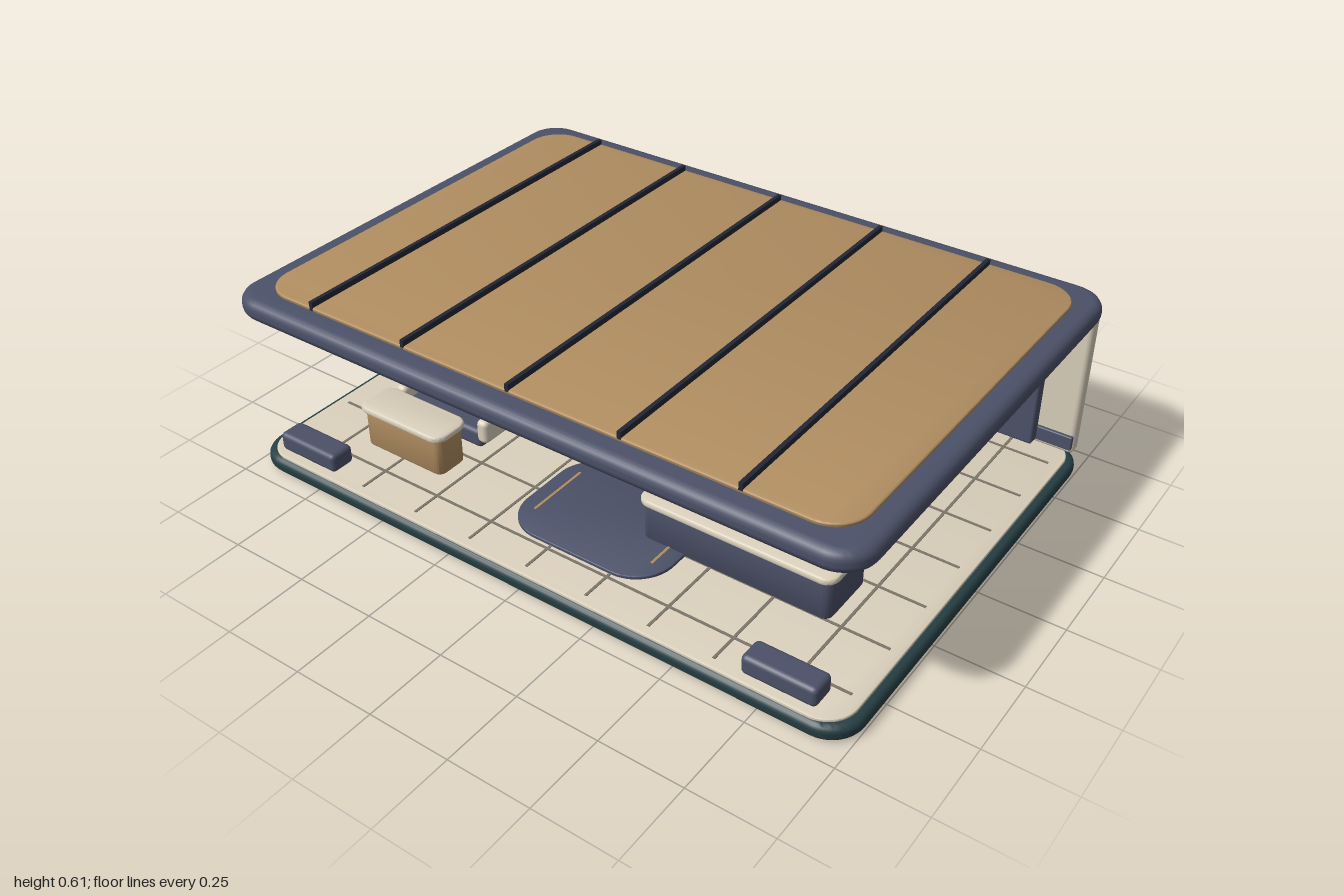
import * as THREE from 'three';
import { toCreasedNormals } from 'three/addons/utils/BufferGeometryUtils.js';
import { RoundedBoxGeometry } from 'three/addons/geometries/RoundedBoxGeometry.js';

const mat = (name, color) => Object.assign(new THREE.MeshStandardMaterial({ color }), { name });

export function createModel() {
  const root = new THREE.Group();
  root.name = 'openLobby';
  const navy = mat('slate navy', 0x4b5168), cream = mat('cream', 0xd9cfbb), tan = mat('tan wood', 0xb08d60);
  const teal = mat('dark teal', 0x263f44), glass = mat('teal glass', 0x6aa5a3);
  const dark = mat('seam dark', 0x242734), grout = mat('grout', 0x7d766a);

  const add = (name, geo, material, parent = root) => {
    const m = new THREE.Mesh(geo, material);
    m.name = name;
    parent.add(m);
    return m;
  };
  // Box given by its limits, with rounded edges if r > 0
  const box = (name, [x0, x1], [y0, y1], [z0, z1], material, r = 0, parent = root) => {
    const s = [x1 - x0, y1 - y0, z1 - z0];
    const geo = r > 0 ? new RoundedBoxGeometry(...s, 3, r) : new THREE.BoxGeometry(...s);
    const m = add(name, geo, material, parent);
    m.position.set((x0 + x1) / 2, (y0 + y1) / 2, (z0 + z1) / 2);
    return m;
  };
  // Flat slab with rounded corners in plan and a rounded rim
  const slab = (name, [x0, x1], [y0, y1], [z0, z1], corner, bevel, material, parent = root) => {
    const w = (x1 - x0) / 2 - bevel, d = (z1 - z0) / 2 - bevel, r = Math.max(corner - bevel, 0.005);
    const s = new THREE.Shape();
    s.absarc(w - r, d - r, r, 0, Math.PI / 2);
    s.absarc(-w + r, d - r, r, Math.PI / 2, Math.PI);
    s.absarc(-w + r, -d + r, r, Math.PI, Math.PI * 1.5);
    s.absarc(w - r, -d + r, r, Math.PI * 1.5, Math.PI * 2);
    const geo = new THREE.ExtrudeGeometry(s, {
      depth: y1 - y0 - 2 * bevel, bevelEnabled: bevel > 0, bevelSize: bevel,
      bevelThickness: bevel, bevelSegments: 4, curveSegments: 8,
    });
    geo.rotateX(-Math.PI / 2);
    const m = add(name, toCreasedNormals(geo, 0.6), material, parent);
    m.position.set((x0 + x1) / 2, y0 + bevel, (z0 + z1) / 2);
    return m;
  };

  // Base and tiled floor
  slab('base', [-1, 1], [0, 0.048], [-0.705, 0.705], 0.1, 0.02, teal);
  slab('floor', [-0.975, 0.975], [0.04, 0.055], [-0.69, 0.69], 0.09, 0.004, cream);
  for (let i = -4; i <= 4; i++)
    box('floorJoint', [i * 0.2 - 0.004, i * 0.2 + 0.004], [0.05, 0.057], [-0.66, 0.66], grout);
  for (let i = -3; i <= 3; i++)
    box('floorJoint', [-0.94, 0.94], [0.05, 0.057], [i * 0.19 - 0.004, i * 0.19 + 0.004], grout);

  // Roof with tan panel and raised seams
  slab('roof', [-1, 1], [0.515, 0.58], [-0.71, 0.71], 0.1, 0.028, navy);
  slab('roofPanel', [-0.935, 0.935], [0.57, 0.59], [-0.643, 0.64], 0.1, 0.005, tan);
  for (const x of [-0.735, -0.4, -0.045, 0.305, 0.65])
    box('roofSeam', [x - 0.006, x + 0.006], [0.575, 0.607], [-0.64, 0.64], dark);

  // Walls
  box('backWall', [-0.985, 0.978], [0.05, 0.525], [-0.7, -0.651], cream, 0.015);
  box('sideWall', [-0.99, -0.94], [0.05, 0.44], [-0.655, 0.12], cream, 0.02);
  box('baseboard', [-0.94, 0.975], [0.07, 0.116], [-0.655, -0.64], navy, 0.004);

  // Rail and thin light strip below the roof
  const bar = (name, x0, x1, y, z, r, material) => {
    const m = add(name, new THREE.CylinderGeometry(r, r, x1 - x0, 16), material);
    m.rotation.z = Math.PI / 2;
    m.position.set((x0 + x1) / 2, y, z);
  };
  bar('rail', -0.92, 0.862, 0.476, -0.628, 0.016, navy);
  bar('lightStrip', -0.735, 0.73, 0.454, -0.626, 0.007, cream);

  // Windows on the back wall
  for (const x of [-0.697, -0.123, 0.467]) {
    const g = new THREE.Group();
    g.name = 'window';
    g.position.x = x;
    root.add(g);
    box('windowFrame', [-0.187, 0.187], [0.245, 0.432], [-0.655, -0.64], teal, 0.004, g);
    box('windowGlass', [-0.168, 0.168], [0.258, 0.418], [-0.642, -0.637], glass, 0, g);
    box('windowCrossbar', [-0.165, 0.165], [0.367, 0.376], [-0.64, -0.634], teal, 0, g);
    box('windowMullion', [-0.004, 0.004], [0.258, 0.418], [-0.64, -0.635], grout, 0, g);
  }

  // Doors with plate and knob
  for (const x of [-0.532, -0.058, 0.407, 0.78]) {
    const g = new THREE.Group();
    g.name = 'door';
    g.position.x = x;
    root.add(g);
    box('doorLeaf', [-0.088, 0.088], [0.07, 0.41], [-0.645, -0.603], navy, 0.008, g);
    box('doorPlate', [-0.05, 0.05], [0.38, 0.398], [-0.604, -0.595], cream, 0.003, g);
    const knob = add('doorKnob', new THREE.SphereGeometry(0.009, 12, 8), dark, g);
    knob.position.set(0.055, 0.246, -0.598);
  }

  // Desk
  slab('deskBody', [-0.742, -0.448], [0.055, 0.178], [0.39, 0.5], 0.025, 0.008, tan);
  slab('deskTop', [-0.758, -0.435], [0.172, 0.194], [0.378, 0.512], 0.04, 0.01, cream);

  // Sofa behind the desk
  box('sofaSeat', [-0.755, -0.445], [0.055, 0.115], [0.2, 0.33], navy, 0.015);
  box('sofaBack', [-0.765, -0.435], [0.075, 0.192], [0.187, 0.222], navy, 0.014);
  for (const x of [-0.758, -0.438])
    box('sofaArm', [x - 0.02, x + 0.02], [0.08, 0.157], [0.205, 0.335], cream, 0.016);

  // Long counter
  slab('counterBody', [0.18, 0.765], [0.055, 0.178], [0.19, 0.385], 0.025, 0.008, navy);
  slab('counterTop', [0.165, 0.775], [0.172, 0.194], [0.182, 0.395], 0.04, 0.01, cream);

  // Floor mat with thin end stripes
  slab('mat', [-0.18, 0.32], [0.052, 0.064], [0.17, 0.555], 0.12, 0.003, navy);
  for (const x of [-0.13, 0.27])
    box('matStripe', [x - 0.004, x + 0.004], [0.06, 0.066], [0.26, 0.465], tan);

  // Low benches at the front corners
  for (const x of [-0.815, 0.787])
    box('frontBench', [x - 0.108, x + 0.108], [0.055, 0.115], [0.587, 0.667], navy, 0.015);

  return root;
}
